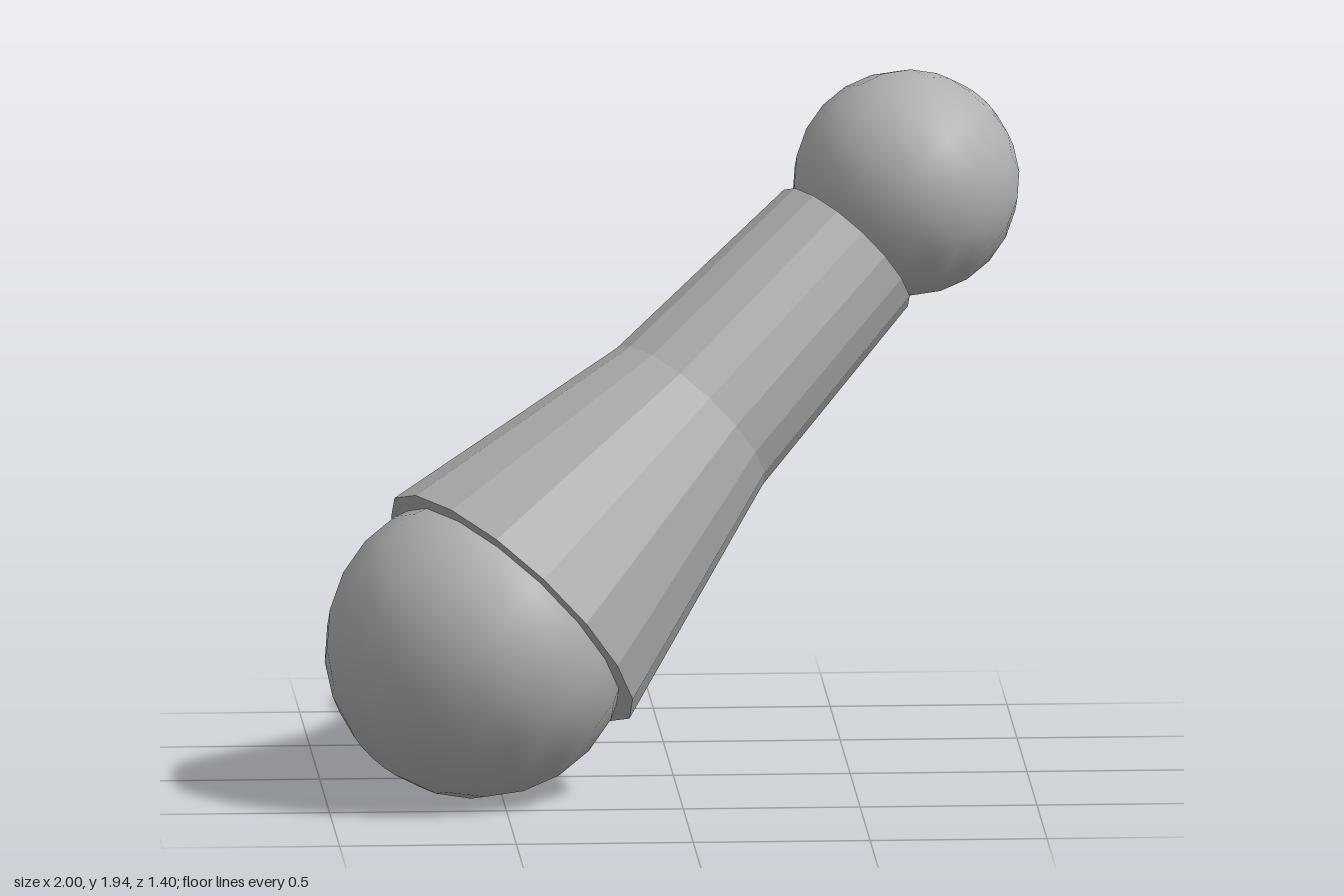
import * as THREE from 'three';

export function createModel() {
  const model = new THREE.Group();
  model.name = 'taperedLimb';
  const grey = new THREE.MeshStandardMaterial({ color: 0xb0b0b0 });
  grey.name = 'grey';
  const greyFlat = new THREE.MeshStandardMaterial({ color: 0xb0b0b0, flatShading: true });
  greyFlat.name = 'grey';

  // The limb's axis runs from the centre of the large ball to the small one
  const start = new THREE.Vector3(-0.57, 0.43, 0.27);
  const end = new THREE.Vector3(0.68, 1.62, -0.39);
  const length = start.distanceTo(end);
  const limb = new THREE.Group();
  limb.name = 'limb';
  limb.position.copy(start);
  limb.quaternion.setFromUnitVectors(
    new THREE.Vector3(0, 1, 0), end.clone().sub(start).normalize());
  model.add(limb);

  const add = (name, geometry, material, y) => {
    const mesh = new THREE.Mesh(geometry, material);
    mesh.name = name;
    mesh.position.y = y;
    limb.add(mesh);
  };
  const cone = (name, y0, r0, y1, r1) => add(name,
    new THREE.CylinderGeometry(r1, r0, y1 - y0, 16), greyFlat, (y0 + y1) / 2);

  // Smooth balls at both ends
  add('largeBall', new THREE.SphereGeometry(0.433, 16, 12), grey, 0);
  add('smallBall', new THREE.SphereGeometry(0.322, 16, 12), grey, length);

  // Two capped, faceted cones meeting at the seam
  cone('lowerCone', 0.15, 0.455, 0.917, 0.282);
  cone('upperCone', 0.917, 0.282, 1.589, 0.24);
  return model;
}
